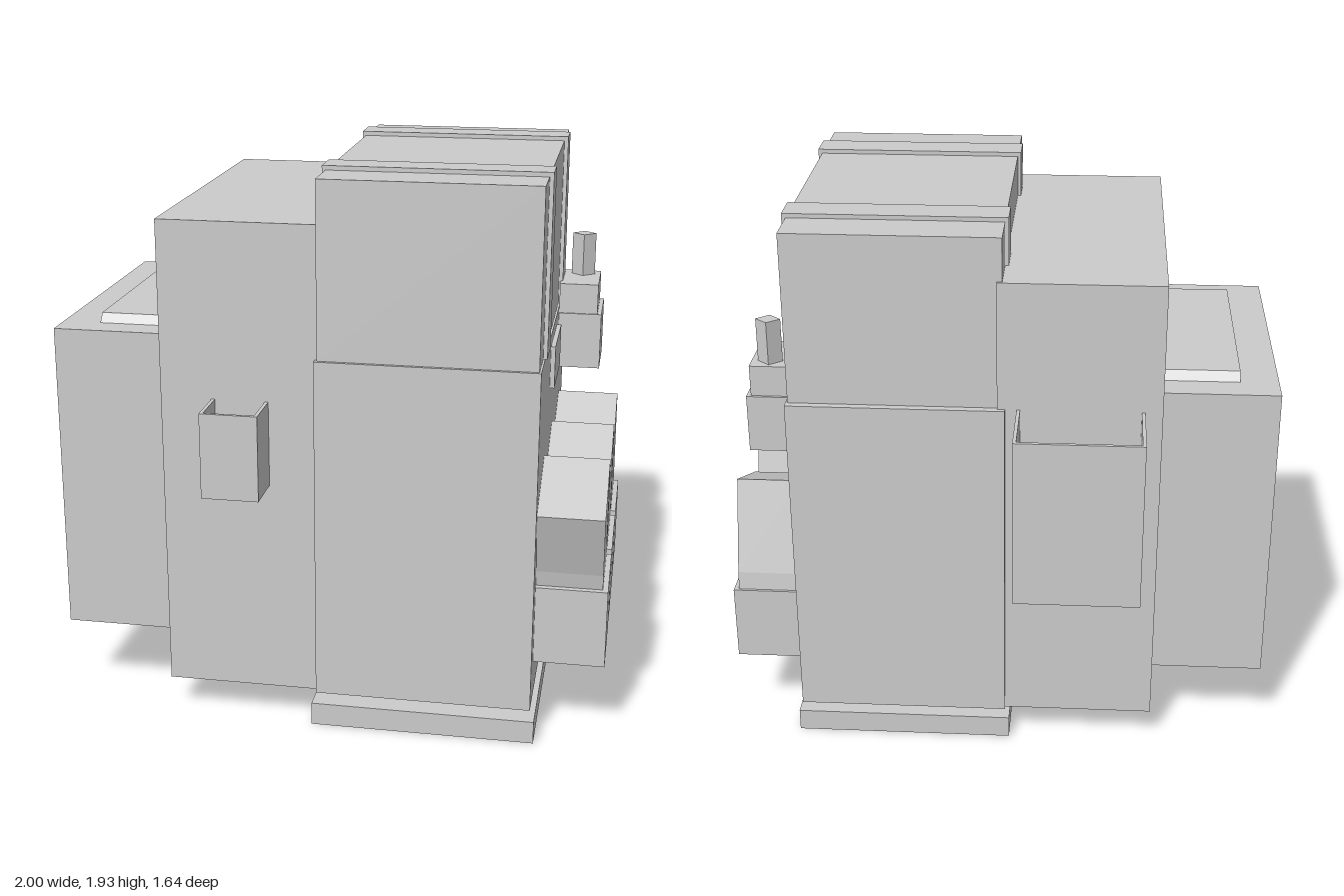
import * as THREE from 'three';

export function createModel() {
  const model = new THREE.Group();
  model.name = 'packBody';
  const mat = new THREE.MeshStandardMaterial({ color: 0xcccccc, flatShading: true });

  const add = (name, geo) => {
    const mesh = new THREE.Mesh(geo, mat);
    mesh.name = name;
    model.add(mesh);
    return mesh;
  };
  // box from its extents on each axis
  const box = (name, [x0, x1], [y0, y1], [z0, z1]) =>
    add(name, new THREE.BoxGeometry(x1 - x0, y1 - y0, z1 - z0)
      .translate((x0 + x1) / 2, (y0 + y1) / 2, (z0 + z1) / 2));
  // side profile of [z, y] points, swept along x
  const prism = (name, pts, x0, x1) => {
    const shape = new THREE.Shape(pts.map(([z, y]) => new THREE.Vector2(-z, y)));
    const geo = new THREE.ExtrudeGeometry(shape, { depth: x1 - x0, bevelEnabled: false });
    return add(name, geo.rotateY(Math.PI / 2).translate(x0, 0, 0));
  };
  // three thin walls standing off the body, open above and below
  const bracket = (name, x0, x1, y, zBody, zOut) => {
    const t = 0.012, dir = Math.sign(zOut - zBody);
    const span = (a, b) => [Math.min(a, b), Math.max(a, b)];
    box(name + 'Face', [x0, x1], y, span(zOut - dir * t, zOut));
    box(name + 'SideA', [x0, x0 + t], y, span(zBody, zOut - dir * t));
    box(name + 'SideB', [x1 - t, x1], y, span(zBody, zOut - dir * t));
  };

  // main volumes
  box('mainBody', [-0.556, 0], [0.12, 1.77], [-0.525, 0.674]);
  box('lowerCompartment', [-0.027, 0.717], [0.12, 1.32], [-0.542, 0.7]);
  box('upperBundle', [-0.018, 0.71], [1.32, 1.92], [-0.515, 0.688]);
  box('basePlate', [-0.042, 0.732], [0, 0.08], [-0.54, 0.706]);

  // side case with a sloped-end lid
  box('sideCase', [-0.953, -0.556], [0.27, 1.36], [-0.447, 0.592]);
  prism('caseLid', [[-0.342, 1.36], [0.491, 1.36], [0.465, 1.39], [-0.315, 1.39]], -0.821, -0.556);
  box('leftPlate', [-0.57, -0.556], [1.47, 1.62], [-0.078, 0.229]);
  box('rightPlate', [0.717, 0.733], [1.13, 1.28], [-0.066, 0.235]);

  // straps over the upper bundle
  for (const z of [-0.297, 0.461]) {
    const h = 0.06, low = 0.073;
    box('strapTop', [-0.03, 0.724], [1.92, 1.935], [z - h, z + h]);
    box('strapLeft', [-0.03, -0.018], [1.77, 1.92], [z - h, z + h]);
    prism('strapRight', [[z - low, 1.32], [z + low, 1.32], [z + h, 1.92], [z - h, 1.92]], 0.71, 0.724);
  }

  // wall brackets on the front and back
  bracket('frontBracket', -0.381, -0.186, [0.87, 1.165], 0.674, 0.834);
  bracket('backBracket', -0.497, -0.066, [0.72, 1.32], -0.525, -0.782);

  // pouches with tilted tops
  for (let i = 0; i < 3; i++) {
    const z = 0.291 - i * 0.379;
    box('pouch', [0.717, 0.96], [0.27, 0.545], [z, z + 0.336]);
    prism('pouchContents', [
      [z + 0.01, 0.545], [z + 0.314, 0.545], [z + 0.324, 0.6],
      [z + 0.394, 0.825], [z + 0.112, 0.94], [z + 0.018, 0.61],
    ], 0.717, 0.942);
  }

  // radio with a four-sided aerial
  box('radioLower', [0.717, 0.872], [1.09, 1.295], [-0.42, -0.174]);
  box('radioUpper', [0.717, 0.857], [1.295, 1.405], [-0.41, -0.18]);
  add('aerial', new THREE.CylinderGeometry(0.043, 0.043, 0.155, 4))
    .position.set(0.792, 1.4825, -0.358);
  model.getObjectByName('aerial').scale.z = 0.85;

  // the whole body stands slightly turned
  model.rotation.y = -0.084;
  const root = new THREE.Group();
  root.name = 'fieldPack';
  root.add(model);
  return root;
}
